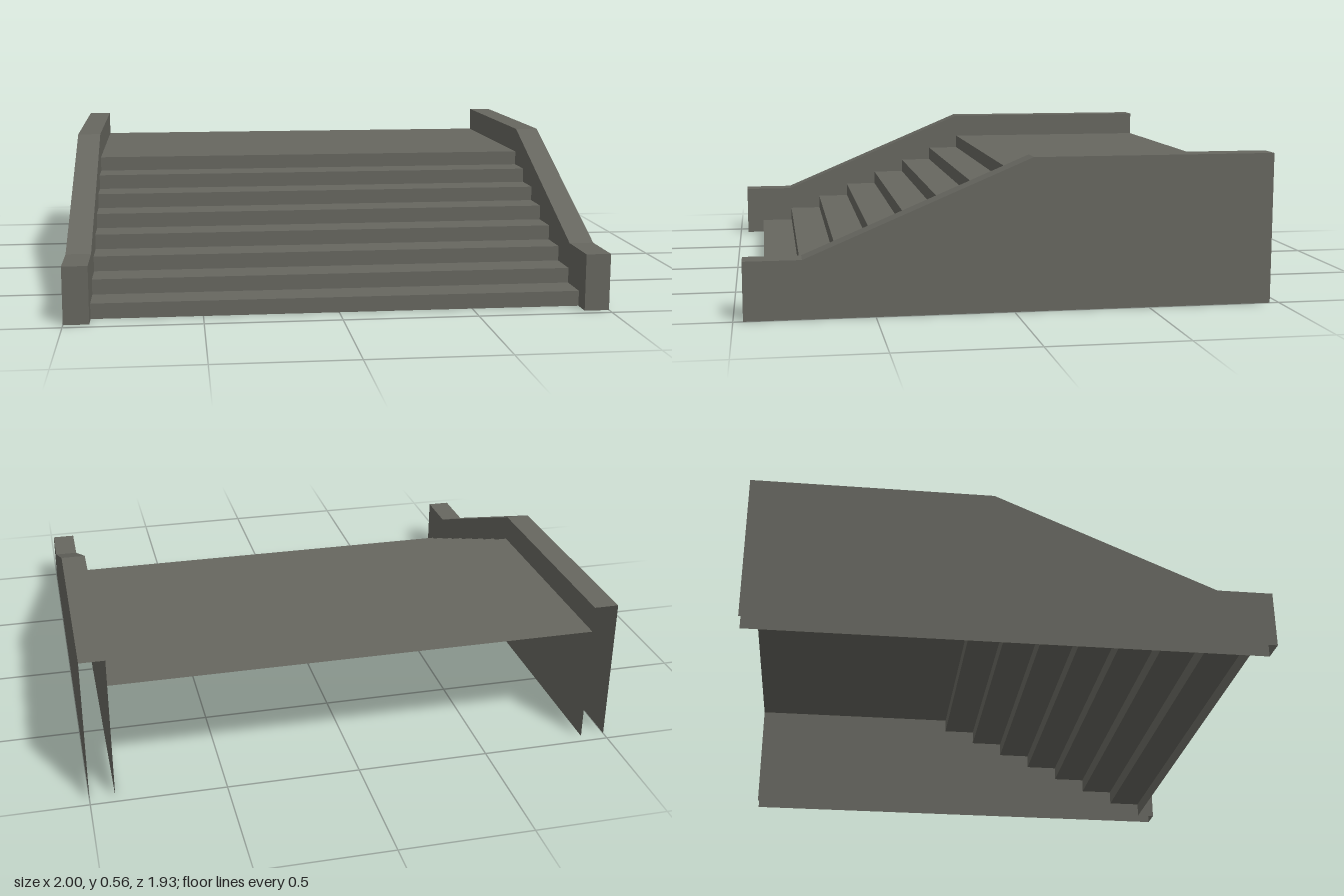
import * as THREE from 'three';

const BACK = -0.965, FRONT = 0.965, INNER = 0.907;

// Sheet swept along x from x0 to x1, following [z, y] points from front to back
function sweptSheet(points, x0, x1) {
  const pos = [];
  for (let i = 0; i < points.length - 1; i++) {
    const [z0, y0] = points[i], [z1, y1] = points[i + 1];
    pos.push(x0, y0, z0, x1, y0, z0, x1, y1, z1);
    pos.push(x0, y0, z0, x1, y1, z1, x0, y1, z1);
  }
  const geo = new THREE.BufferGeometry();
  geo.setAttribute('position', new THREE.Float32BufferAttribute(pos, 3));
  geo.computeVertexNormals();
  return geo;
}

// Flat upright panel with a [z, y] outline, facing +x or -x
function sidePanel(points, x, facing) {
  const shape = new THREE.Shape(points.map(([z, y]) => new THREE.Vector2(-z * facing, y)));
  return new THREE.ShapeGeometry(shape).rotateY(facing * Math.PI / 2).translate(x, 0, 0);
}

export function createModel() {
  const group = new THREE.Group();
  group.name = 'stairs';
  const stone = new THREE.MeshStandardMaterial({ color: 0x66665f, side: THREE.DoubleSide });
  stone.name = 'grey stone';
  const add = (parent, name, geo) => {
    const mesh = new THREE.Mesh(geo, stone);
    mesh.name = name;
    parent.add(mesh);
  };

  // Eight risers, seven treads and the landing, open underneath
  const steps = 8, rise = 0.46 / steps, run = 0.137, firstZ = 0.89;
  const profile = [[firstZ, 0]];
  for (let i = 0; i < steps; i++) {
    const z = firstZ - i * run;
    profile.push([z, (i + 1) * rise]);
    profile.push([i < steps - 1 ? z - run : BACK, (i + 1) * rise]);
  }
  add(group, 'stepsAndLanding', sweptSheet(profile, -INNER, INNER));

  // Hollow side walls, open at the back and bottom
  const wall = [[FRONT, 0], [FRONT, 0.213], [0.757, 0.213], [-0.067, 0.56], [BACK, 0.56]];
  const outline = [...wall, [BACK, 0]];
  for (const side of [1, -1]) {
    const sideWall = new THREE.Group();
    sideWall.name = side > 0 ? 'leftWall' : 'rightWall';
    add(sideWall, 'outerPanel', sidePanel(outline, side, side));
    add(sideWall, 'innerPanel', sidePanel(outline, side * INNER, -side));
    add(sideWall, 'coping', sweptSheet(wall, side > 0 ? INNER : -1, side > 0 ? 1 : -INNER));
    group.add(sideWall);
  }
  return group;
}
